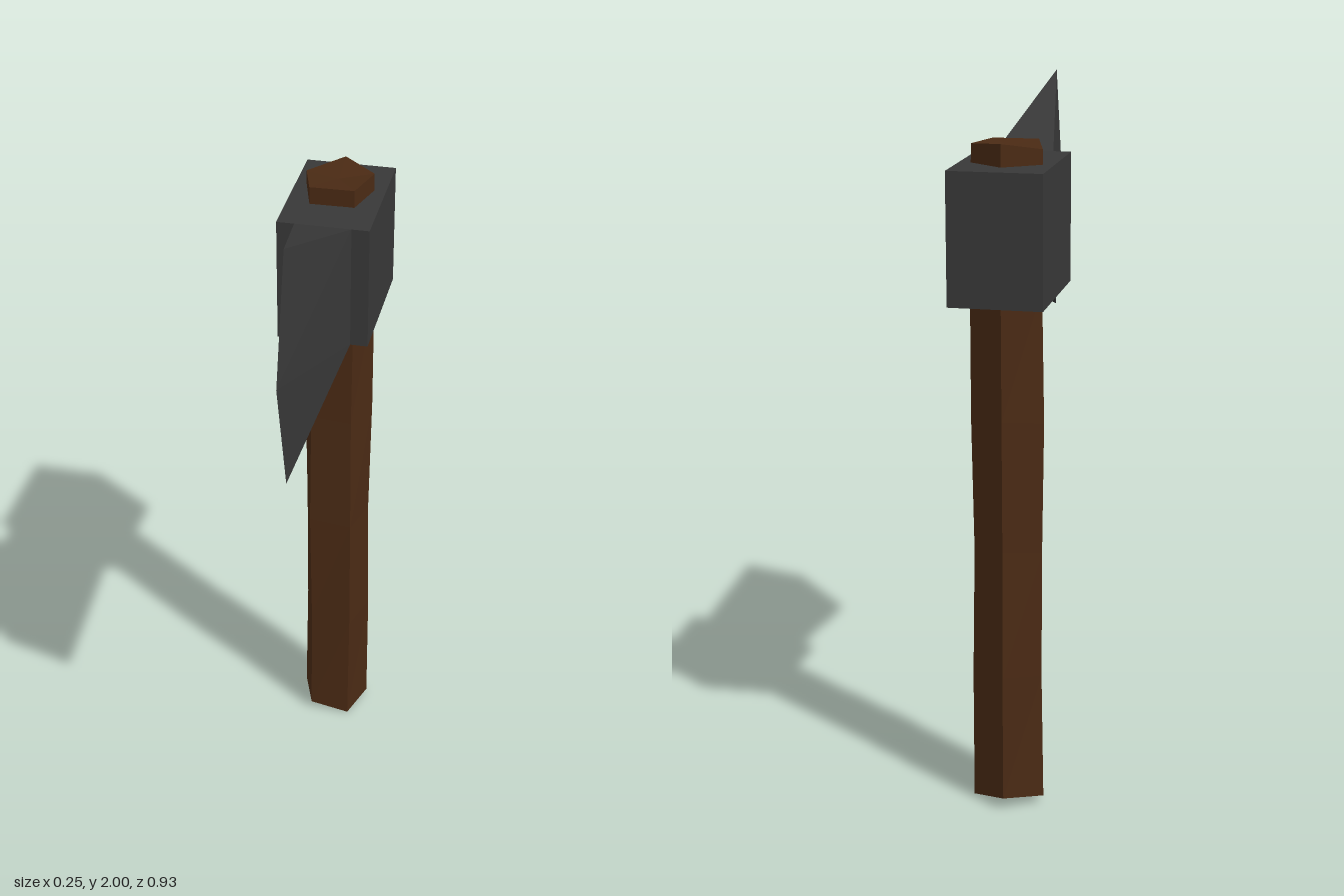
import * as THREE from 'three';

const wood = new THREE.MeshStandardMaterial({ color: 0x4a2a14, flatShading: true });
const iron = new THREE.MeshStandardMaterial({ color: 0x383838, flatShading: true });

function addMesh(group, name, geometry, material) {
  const mesh = new THREE.Mesh(geometry, material);
  mesh.name = name;
  group.add(mesh);
  return mesh;
}

// Five-sided shaft, slightly hand-hewn, with uneven ends
function handleGeometry() {
  const bottom = [0.04, 0.025, 0.025, 0.0, 0.01];
  const top = [1.89, 1.87, 1.88, 1.88, 1.88];
  const geo = new THREE.CylinderGeometry(0.103, 0.103, 1, 5, 5, false, Math.PI);
  const p = geo.attributes.position;
  for (let i = 0; i < p.count; i++) {
    const x = p.getX(i), z = p.getZ(i), t = p.getY(i) + 0.5;
    if (Math.hypot(x, z) < 0.01) { // centres of the end caps
      p.setY(i, t < 0.5 ? 0.02 : 1.87);
      continue;
    }
    const corner = (Math.round(Math.atan2(-x, -z) / (Math.PI * 0.4)) + 5) % 5;
    const ring = Math.round(t * 5);
    const scale = 1 + 0.04 * Math.sin(ring * 2.1 + corner * 1.7);
    p.setXYZ(i, x * scale, THREE.MathUtils.lerp(bottom[corner], top[corner], t), z * scale);
  }
  geo.computeVertexNormals();
  return geo;
}

// Wedge from a rectangular root to a pointed cutting edge
function bladeGeometry() {
  const w = 0.078, zr = -0.08, y0 = 1.475, y1 = 1.83;
  const corners = [
    -w, y0, zr, w, y0, zr, w, y1, zr, -w, y1, zr, // root
    0, 2, 0.37, 0, 1.655, 0.466, 0, 1.305, 0.37,  // cutting edge
  ];
  const faces = [
    3, 4, 2, 0, 1, 6, 0, 3, 2, 0, 2, 1, // top, bottom, root
    2, 4, 5, 2, 5, 1, 1, 5, 6,          // left cheek
    3, 5, 4, 3, 0, 5, 0, 6, 5,          // right cheek
  ];
  const geo = new THREE.BufferGeometry();
  geo.setAttribute('position', new THREE.Float32BufferAttribute(corners, 3));
  geo.setIndex(faces);
  const flat = geo.toNonIndexed();
  flat.computeVertexNormals();
  return flat;
}

export function createModel() {
  const axe = new THREE.Group();
  axe.name = 'axe';

  addMesh(axe, 'handle', handleGeometry(), wood).position.z = -0.287;

  // Block around the top of the shaft
  addMesh(axe, 'headBlock', new THREE.BoxGeometry(0.254, 0.355, 0.386), iron)
    .position.set(0, 1.6525, -0.273);

  addMesh(axe, 'blade', bladeGeometry(), iron);
  return axe;
}
